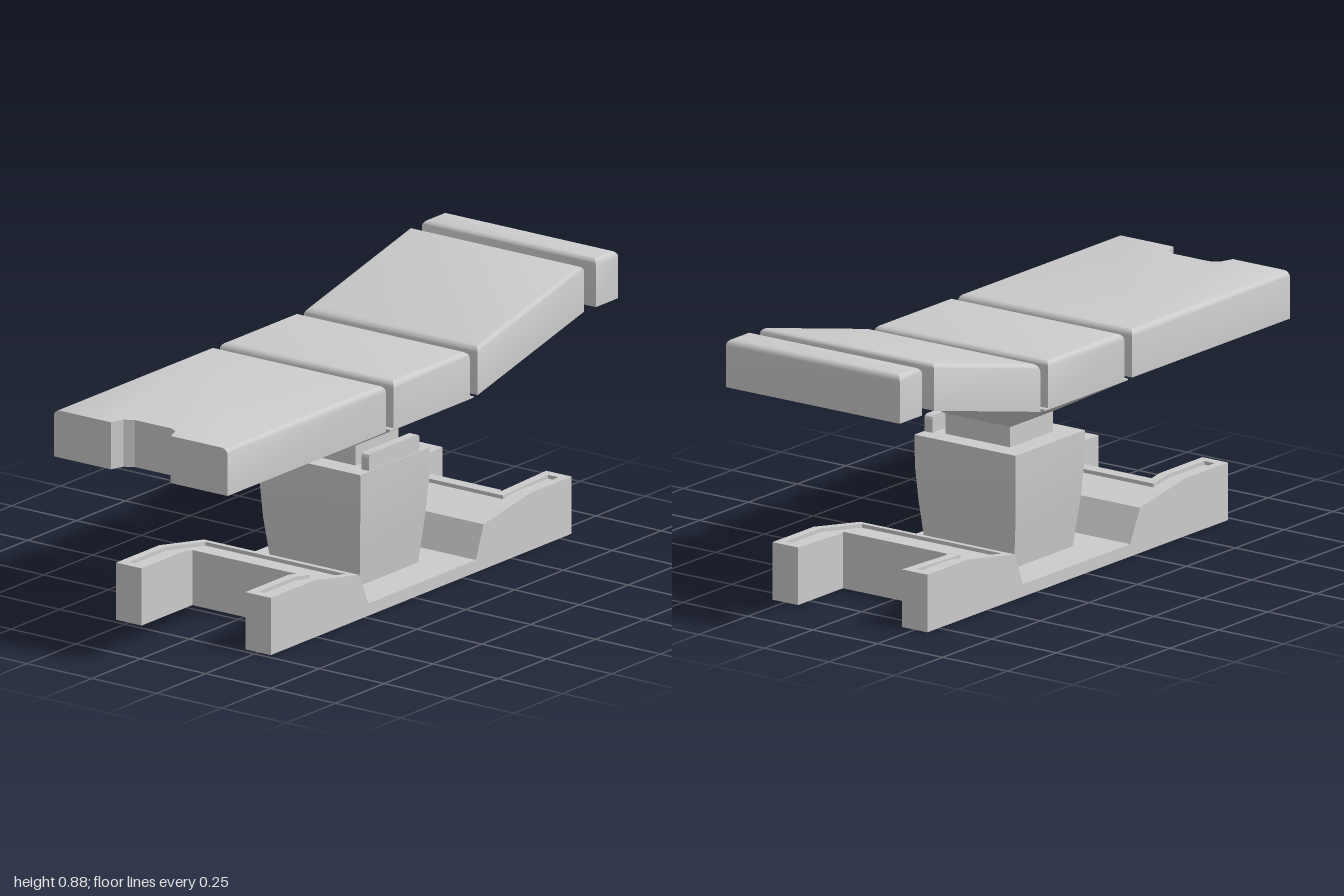
import * as THREE from 'three';
import { toCreasedNormals } from 'three/addons/utils/BufferGeometryUtils.js';

const grey = new THREE.MeshStandardMaterial({ color: 0xcccccc });

// Closed solid through level rings: [{ y, pts: [[x, z], ...] }], anticlockwise from above
function loft(rings) {
  const pos = [];
  const put = (r, j) => pos.push(r.pts[j][0], r.y, r.pts[j][1]);
  const n = rings[0].pts.length;
  for (let i = 0; i + 1 < rings.length; i++) {
    const a = rings[i], b = rings[i + 1];
    for (let j = 0; j < n; j++) {
      const k = (j + 1) % n;
      put(a, j); put(a, k); put(b, k);
      put(a, j); put(b, k); put(b, j);
    }
  }
  const cap = (r, up) => {
    const flat = r.pts.map(([x, z]) => new THREE.Vector2(x, -z));
    for (const f of THREE.ShapeUtils.triangulateShape(flat, [])) {
      for (const j of up ? f : [...f].reverse()) put(r, j);
    }
  };
  cap(rings[0], false);
  cap(rings[rings.length - 1], true);
  const geo = new THREE.BufferGeometry();
  geo.setAttribute('position', new THREE.Float32BufferAttribute(pos, 3));
  return geo;
}

const rect = (x0, x1, z) => [[x0, z], [x1, z], [x1, -z], [x0, -z]];

// Cushion with rounded top edges; outline(d) gives the footprint inset by d
function cushion(y0, y1, outline) {
  const r = 0.022;
  const rings = [{ y: y0, pts: outline(0) }];
  for (let i = 0; i <= 5; i++) {
    const a = (i / 5) * Math.PI / 2;
    rings.push({ y: y1 - r + r * Math.sin(a), pts: outline(r * (1 - Math.cos(a))) });
  }
  return loft(rings);
}

export function createModel() {
  const group = new THREE.Group();
  const add = (name, geo) => {
    geo.computeVertexNormals();
    const mesh = new THREE.Mesh(toCreasedNormals(geo, 0.5), grey);
    mesh.name = name;
    group.add(mesh);
    return mesh;
  };
  const box = (name, x0, x1, y0, y1, z0, z1) => {
    const g = new THREE.BoxGeometry(x1 - x0, y1 - y0, z1 - z0);
    g.translate((x0 + x1) / 2, (y0 + y1) / 2, (z0 + z1) / 2);
    return add(name, g);
  };

  // Base: side profile cut in lengthwise slices, with shallow recesses in the top
  const topLine = (x) => x < 0
    ? (x < -0.51 ? 0.185 : 0.185 + (x + 0.51) / 0.23 * -0.04)
    : (x > 0.6 ? 0.185 : 0.145 + (x - 0.36) / 0.24 * 0.04);
  const slice = (xl, xr, recL, recR, z0, z1) => {
    const s = new THREE.Shape();
    s.moveTo(xl, 0);
    s.lineTo(xr, 0);
    const line = (x, drop = 0) => s.lineTo(x, topLine(x) - drop);
    const d = 0.012;
    line(xr);
    if (recR) {
      line(recR); line(recR, d);
      if (recR > 0.6) line(0.6, d);
      line(0.39, d); line(0.39);
    } else if (xr > 0.6) line(0.6);
    line(0.36);
    s.lineTo(0.32, 0.04);
    s.lineTo(-0.23, 0.04);
    line(-0.28);
    if (recL) {
      line(-0.31); line(-0.31, d);
      if (recL < -0.51) line(-0.51, d);
      line(recL, d); line(recL);
    }
    if (xl < -0.51 && !(recL < -0.51)) line(-0.51);
    line(xl);
    const g = new THREE.ExtrudeGeometry(s, { depth: z1 - z0, bevelEnabled: false });
    g.translate(0, 0, z0);
    add('baseSlice', g);
  };
  slice(-0.47, 0.58, -0.44, 0.55, -0.2, 0.2);
  for (const s of [1, -1]) {
    const pair = (a, b) => (s > 0 ? [a, b] : [-b, -a]);
    slice(-0.73, 0.81, -0.44, 0.55, ...pair(0.2, 0.23));
    slice(-0.73, 0.81, -0.7, 0.78, ...pair(0.23, 0.27));
    slice(-0.73, 0.81, 0, 0, ...pair(0.27, 0.298));
  }

  // Tapered column, neck and flared seat support
  add('column', loft([
    { y: 0.04, pts: rect(-0.105, 0.195, 0.17) },
    { y: 0.2, pts: rect(-0.125, 0.21, 0.187) },
    { y: 0.31, pts: rect(-0.133, 0.219, 0.194) },
    { y: 0.41, pts: rect(-0.135, 0.22, 0.195) },
  ]));
  box('neck', -0.065, 0.155, 0.4, 0.48, -0.125, 0.125);
  add('flaredSupport', loft([
    { y: 0.475, pts: rect(-0.065, 0.155, 0.125) },
    { y: 0.587, pts: rect(-0.168, 0.258, 0.335) },
    { y: 0.592, pts: rect(-0.168, 0.258, 0.335) },
  ]));

  // Control panel standing on the column's front edge
  const panel = new THREE.Shape();
  panel.moveTo(-0.085, 0.4);
  panel.lineTo(0.172, 0.4);
  panel.lineTo(0.172, 0.45);
  panel.quadraticCurveTo(0.172, 0.465, 0.157, 0.465);
  panel.lineTo(-0.07, 0.465);
  panel.quadraticCurveTo(-0.085, 0.465, -0.085, 0.45);
  const panelGeo = new THREE.ExtrudeGeometry(panel, { depth: 0.03, bevelEnabled: false });
  panelGeo.translate(0, 0, 0.162);
  add('controlPanel', panelGeo);

  // Table cushions
  const Z = 0.335;
  const plain = (x0, x1) => (d) => rect(x0 + d, x1 - d, Z - d);
  add('seatCushion', cushion(0.59, 0.742, plain(-0.15, 0.24)));
  add('headCushion', cushion(0.72, 0.875, plain(0.885, 1)));
  add('legCushion', cushion(0.59, 0.742, (d) => [
    [-1, Z - d], [-0.19 - d, Z - d], [-0.19 - d, d - Z], [-1, d - Z],
    [-1, -0.115], [-0.955, -0.1], [-0.937, -0.07],
    [-0.937, 0.07], [-0.955, 0.1], [-1, 0.115],
  ]));
  const back = cushion(0.59, 0.742, plain(0.28, 0.825));
  const p = back.attributes.position;
  for (let i = 0; i < p.count; i++) p.setY(i, p.getY(i) + (p.getX(i) - 0.28) * 0.24);
  add('backCushion', back);

  // Hinges and head rods
  for (const s of [1, -1]) {
    box('legHinge', -0.2, -0.14, 0.594, 0.618, s * 0.27 - 0.018, s * 0.27 + 0.018);
    box('backHinge', 0.23, 0.29, 0.594, 0.618, s * 0.27 - 0.018, s * 0.27 + 0.018);
    box('headRod', 0.81, 0.9, 0.724, 0.758, s * 0.225 - 0.014, s * 0.225 + 0.014);
  }
  return group;
}
